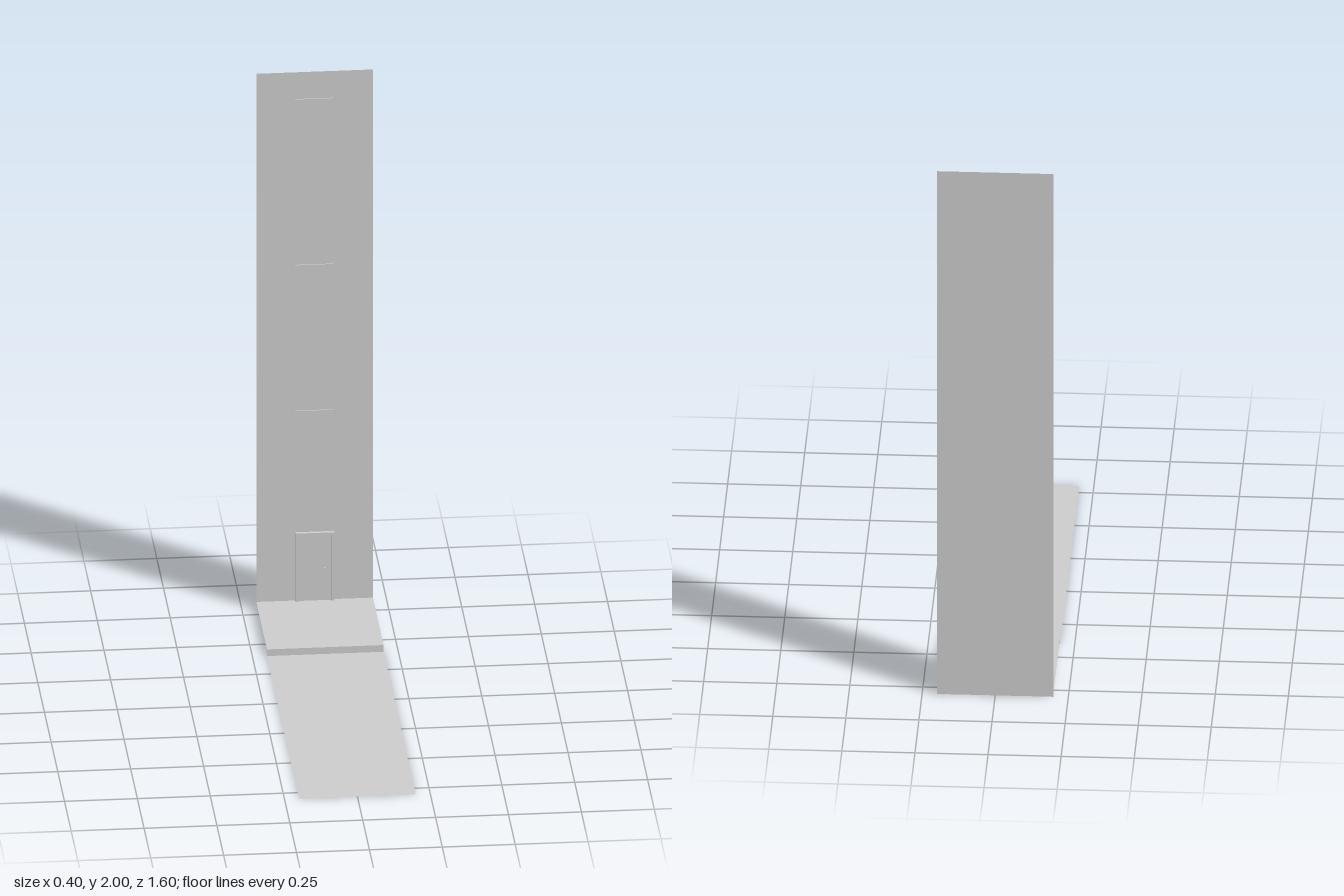
import * as THREE from 'three';

const material = new THREE.MeshStandardMaterial({ color: 0xcccccc, side: THREE.DoubleSide });

const HALF = 0.2;      // half width of the street slice
const BACK = -0.8;     // facade plane
const KERB_Z = -0.4;   // kerb line
const KERB_H = 0.025;  // pavement height

function add(parent, name, geometry, x, y, z) {
  const mesh = new THREE.Mesh(geometry, material);
  mesh.name = name;
  mesh.position.set(x, y, z);
  parent.add(mesh);
  return mesh;
}

// Box given by its x and y ranges, standing out from the facade by depth
function wallBox(parent, name, x0, x1, y0, y1, depth) {
  return add(parent, name, new THREE.BoxGeometry(x1 - x0, y1 - y0, depth),
    (x0 + x1) / 2, (y0 + y1) / 2, BACK + depth / 2);
}

// Flat horizontal sheet between two z values
function ground(parent, name, y, z0, z1) {
  const geometry = new THREE.PlaneGeometry(2 * HALF, z1 - z0).rotateX(-Math.PI / 2);
  return add(parent, name, geometry, 0, y, (z0 + z1) / 2);
}

export function createModel() {
  const model = new THREE.Group();
  model.name = 'streetFacade';

  // Street: road, kerb face and raised pavement
  ground(model, 'road', 0, KERB_Z, 0.8);
  ground(model, 'pavement', KERB_H, BACK, KERB_Z);
  add(model, 'kerb', new THREE.PlaneGeometry(2 * HALF, KERB_H), 0, KERB_H / 2, KERB_Z);

  // Tall single-sheet facade
  add(model, 'wall', new THREE.PlaneGeometry(2 * HALF, 2), 0, 1, BACK);

  // Windows, one per upper floor
  [0.535, 1.08, 1.7].forEach((y) => {
    wallBox(model, 'window', -0.067, 0.067, y, y + 0.2, 0.004);
  });

  // Door with frame and handle
  const door = new THREE.Group();
  door.name = 'door';
  model.add(door);
  wallBox(door, 'doorPanel', -0.056, 0.056, KERB_H, 0.27, 0.005);

  const frame = new THREE.Shape([
    [-0.067, KERB_H], [-0.056, KERB_H], [-0.056, 0.27], [0.056, 0.27],
    [0.056, KERB_H], [0.067, KERB_H], [0.067, 0.28], [-0.067, 0.28],
  ].map(([x, y]) => new THREE.Vector2(x, y)));
  add(door, 'doorFrame', new THREE.ExtrudeGeometry(frame, { depth: 0.012, bevelEnabled: false }), 0, 0, BACK);

  add(door, 'handleStem', new THREE.BoxGeometry(0.003, 0.003, 0.005), 0.035, 0.146, BACK + 0.0075);
  add(door, 'handle', new THREE.BoxGeometry(0.016, 0.003, 0.002), 0.029, 0.146, BACK + 0.01);

  return model;
}
